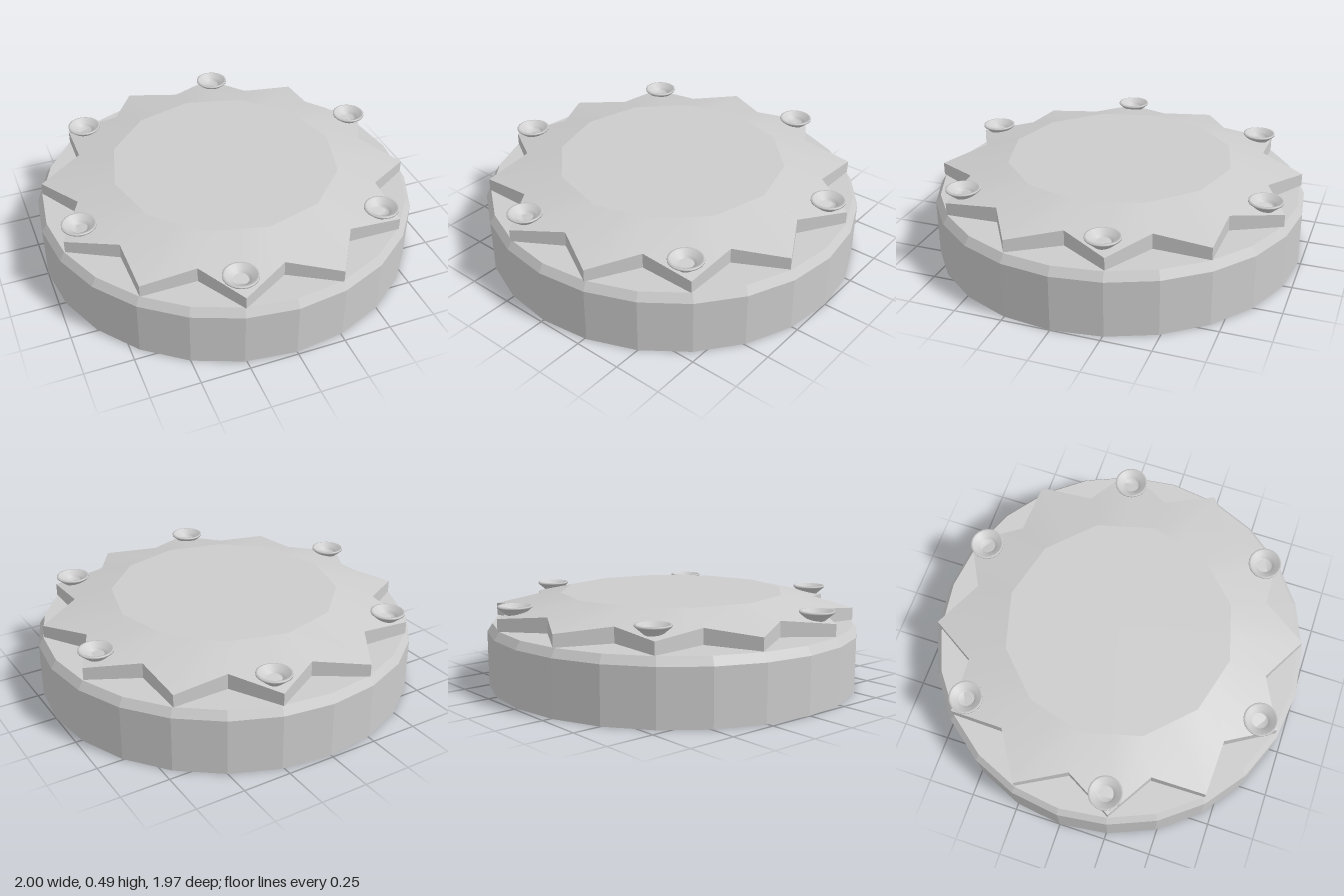
import * as THREE from 'three';

const SIDES = 24;

// One closed loop of points; radius and height may depend on the point's index
function ring(radius, height, zScale = 1) {
  const at = (v, i) => (typeof v === 'function' ? v(i) : v);
  return Array.from({ length: SIDES }, (_, i) => {
    const a = (i / SIDES) * Math.PI * 2, r = at(radius, i);
    return [Math.cos(a) * r, at(height, i), Math.sin(a) * r * zScale];
  });
}

// Skins consecutive loops, ordered from bottom to top on the outside
function loft(rings, smooth = false) {
  const index = [];
  const collapsed = (r) => Math.hypot(r[0][0], r[0][2]) < 1e-6;
  for (let k = 0; k < rings.length - 1; k++) {
    for (let i = 0; i < SIDES; i++) {
      const j = (i + 1) % SIDES;
      const a = k * SIDES + i, b = k * SIDES + j;
      const c = a + SIDES, d = b + SIDES;
      if (!collapsed(rings[k])) index.push(a, c, b);
      if (!collapsed(rings[k + 1])) index.push(b, c, d);
    }
  }
  let geometry = new THREE.BufferGeometry();
  geometry.setAttribute('position', new THREE.Float32BufferAttribute(rings.flat(2), 3));
  geometry.setIndex(index);
  if (!smooth) geometry = geometry.toNonIndexed();
  geometry.computeVertexNormals();
  return geometry;
}

export function createModel() {
  const model = new THREE.Group();
  model.name = 'cappedDisc';
  const grey = new THREE.MeshStandardMaterial({ color: 0xcccccc });
  grey.name = 'grey';

  function add(name, geometry, parent = model) {
    const mesh = new THREE.Mesh(geometry, grey);
    mesh.name = name;
    parent.add(mesh);
    return mesh;
  }

  // Faceted drum with a bevelled top edge
  add('base', loft([
    ring(0, 0), ring(1, 0, 0.985), ring(1, 0.29, 0.985),
    ring(0.972, 0.333, 0.985), ring(0, 0.333),
  ]));

  // Twelve-pointed star cover, its tips sloping down to the base
  const tip = (i) => i % 2 === 1;
  const starRadius = (i) => (tip(i) ? 0.968 : 0.8);
  const starTop = ring(starRadius, (i) => (tip(i) ? 0.4 : 0.427));
  const starBottom = ring(starRadius, (i) => (tip(i) ? 0.335 : 0.347));
  const crown = ring((i) => (tip(i) ? 0.6 * Math.cos(Math.PI / 12) : 0.6), 0.487);
  add('starEdge', loft([ring(0, 0.347), starBottom, starTop]));
  add('starSlope', loft([starTop, crown], true));
  add('crownTop', loft([crown, ring(0, 0.487)]));

  // Six countersunk studs around the cover
  const studProfile = [
    [0.042, 0.385], [0.044, 0.412], [0.088, 0.45], [0.088, 0.458], [0.077, 0.46],
    [0.06, 0.438], [0.042, 0.434], [0.04, 0.418], [0, 0.418],
  ].map(([r, y]) => new THREE.Vector2(r, y));
  const studGeometry = new THREE.LatheGeometry(studProfile, 20);
  const studs = new THREE.Group();
  studs.name = 'studs';
  model.add(studs);
  for (let i = 0; i < 6; i++) {
    const a = THREE.MathUtils.degToRad(46 + i * 60);
    add('stud', studGeometry, studs).position.set(Math.cos(a) * 0.87, 0, Math.sin(a) * 0.87);
  }

  return model;
}
